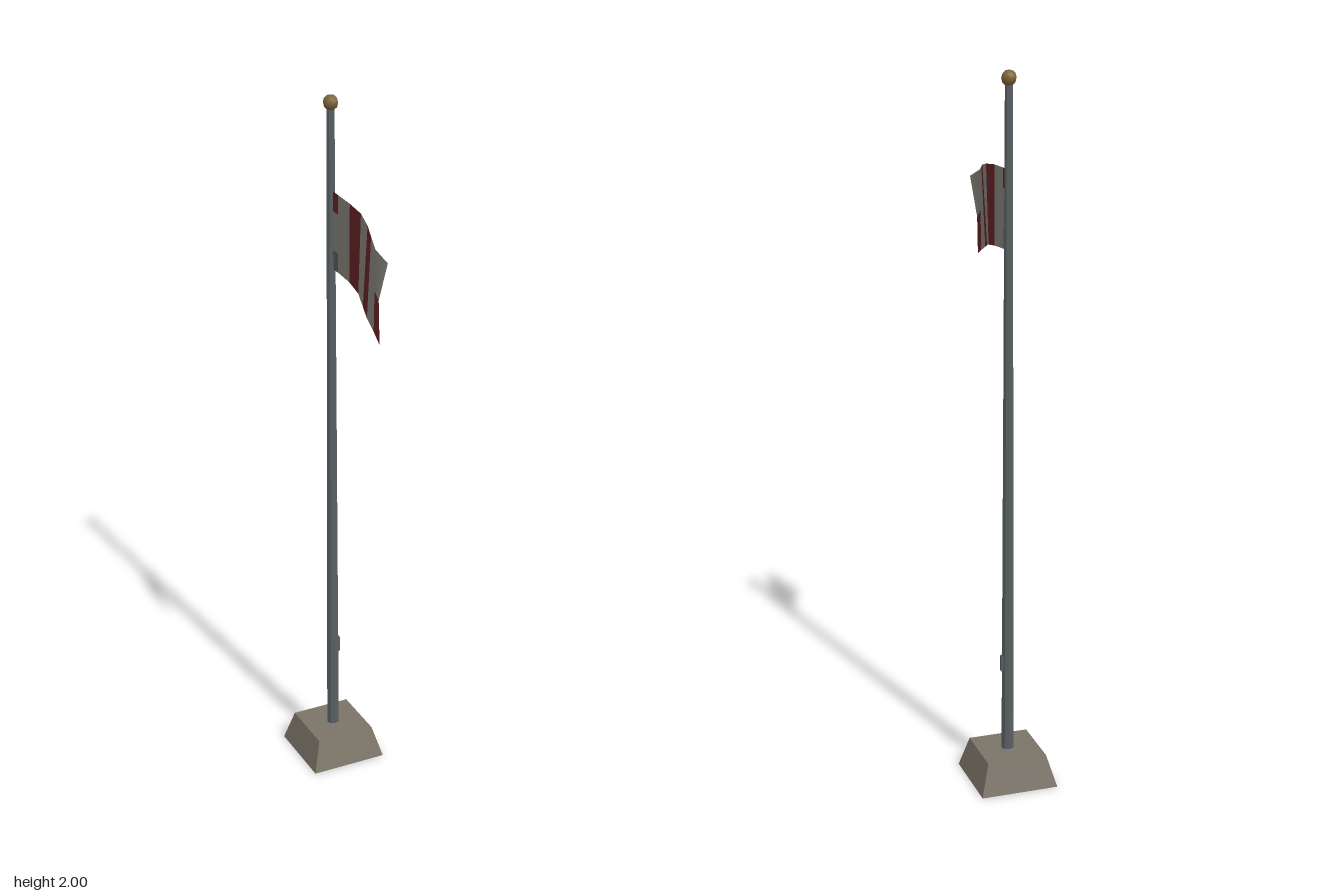
import * as THREE from 'three';

const mat = (name, color, extra = {}) =>
  Object.assign(new THREE.MeshStandardMaterial({ color, ...extra }), { name });

// Flag outline by column: [z, top y, top x, bottom y, bottom x]
const COLUMNS = [
  [-0.12, 1.742, 0, 1.52, 0],
  [-0.08, 1.739, 0.002, 1.522, 0.001],
  [-0.017, 1.735, 0.005, 1.516, 0.004],
  [0.04, 1.726, 0.009, 1.505, 0.002],
  [0.093, 1.712, 0.002, 1.49, -0.011],
  [0.135, 1.698, -0.009, 1.475, -0.02],
  [0.18, 1.68, -0.019, 1.455, -0.023],
  [0.222, 1.655, -0.005, 1.435, -0.027],
];
const ROWS = 4;

// Which material a flag cell uses: 0 cream, 1 red, 2 grey
function cellColor(col, row) {
  if (col === 0) return row === 0 ? 1 : row === ROWS - 1 ? 2 : 0;
  if (col === 2 || col === 4) return 1;
  return col === 6 && row >= ROWS / 2 ? 1 : 0;
}

function flagGeometry() {
  const pos = [], index = [];
  COLUMNS.forEach(([z, yt, xt, yb, xb], c) => {
    for (let r = 0; r <= ROWS; r++) {
      const t = r / ROWS;
      // Swallow-tail notch in the free edge
      const notch = c === COLUMNS.length - 1 ? 0.028 * (1 - Math.abs(2 * t - 1)) : 0;
      pos.push(xt + (xb - xt) * t, yt + (yb - yt) * t, z - notch);
    }
  });
  const geo = new THREE.BufferGeometry();
  for (let c = 0; c < COLUMNS.length - 1; c++) {
    for (let r = 0; r < ROWS; r++) {
      const a = c * (ROWS + 1) + r, b = a + ROWS + 1;
      geo.addGroup(index.length, 6, cellColor(c, r));
      index.push(a, b, a + 1, b, b + 1, a + 1);
    }
  }
  geo.setAttribute('position', new THREE.Float32BufferAttribute(pos, 3));
  geo.setIndex(index);
  geo.computeVertexNormals();
  // Face the wider lit side (+x)
  if (geo.attributes.normal.getX(12) < 0) {
    for (let i = 0; i < index.length; i += 3) [index[i], index[i + 1]] = [index[i + 1], index[i]];
    geo.setIndex(index);
    geo.computeVertexNormals();
  }
  return geo;
}

export function createModel() {
  const group = new THREE.Group();
  const stone = mat('stone', 0x7b7468, { flatShading: true });
  const steel = mat('steel', 0x596063, { flatShading: true });
  const brass = mat('brass', 0x7d6338);
  const cream = mat('cream cloth', 0x87837a, { side: THREE.DoubleSide });
  const red = mat('red cloth', 0x652326, { side: THREE.DoubleSide });
  const grey = mat('grey cloth', 0x5c5d5b, { side: THREE.DoubleSide });
  const add = (name, geo, material, x, y, z) => {
    const mesh = new THREE.Mesh(geo, material);
    mesh.name = name;
    mesh.position.set(x, y, z);
    group.add(mesh);
    return mesh;
  };
  const Z = -0.12;

  // Tapered square plinth
  const base = new THREE.CylinderGeometry(0.085 * Math.SQRT2, 0.11 * Math.SQRT2, 0.09, 4);
  base.rotateY(Math.PI / 4);
  add('base', base, stone, 0, 0.045, Z);

  // Slender tapered pole with a ball on top
  add('pole', new THREE.CylinderGeometry(0.011, 0.018, 1.88, 8), steel, 0, 1.025, Z);
  add('finial', new THREE.SphereGeometry(0.021, 8, 6), brass, 0, 1.979, Z);

  // Rope cleat
  add('cleat', new THREE.BoxGeometry(0.008, 0.045, 0.012), steel, 0.017, 0.35, Z);

  // Waving striped flag
  add('flag', flagGeometry(), [cream, red, grey], 0, 0, 0);
  return group;
}
